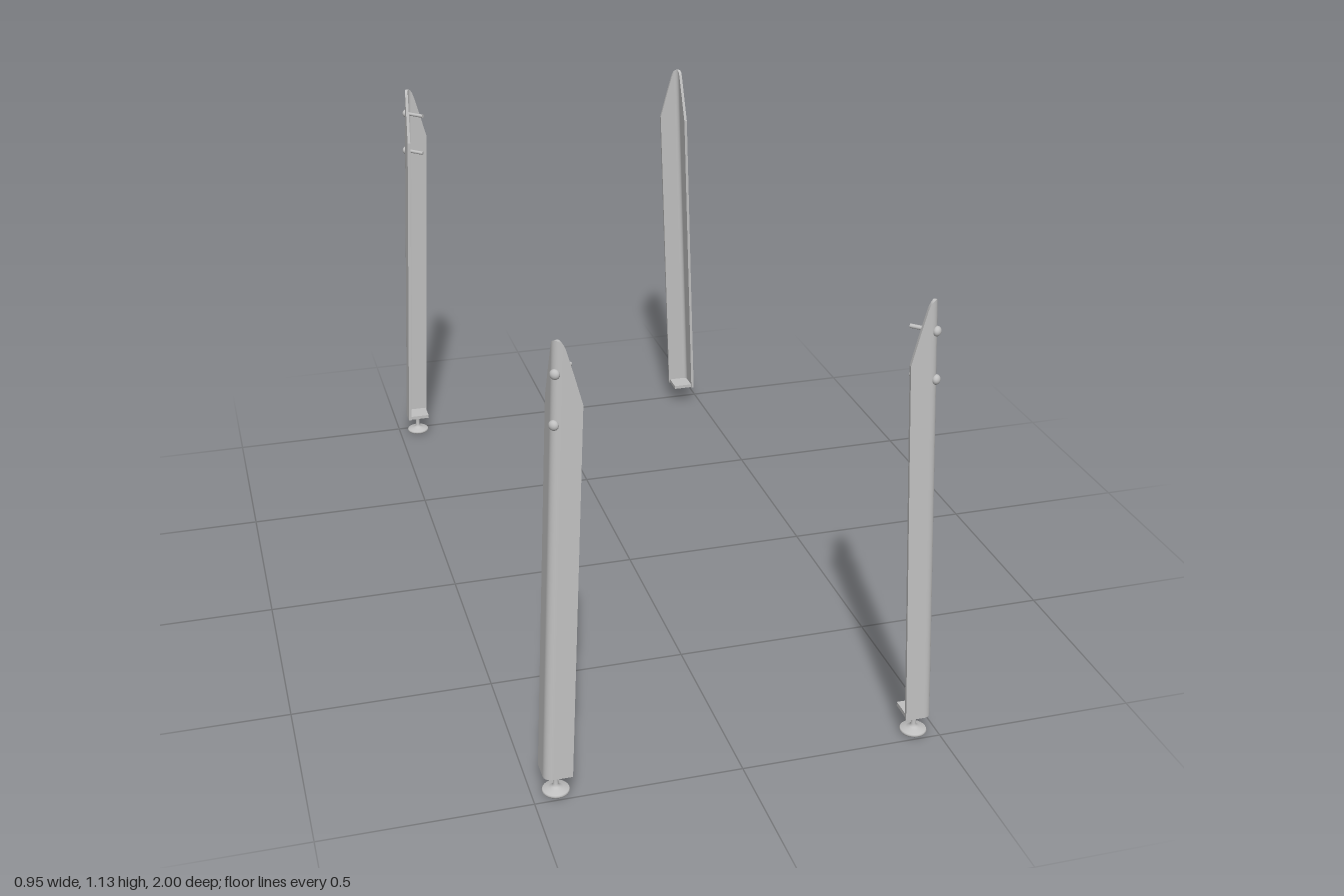
import * as THREE from 'three';

const R = 0.02, T = 0.008, W = 0.067, BOTTOM = 0.058; // corner radius, wall, flange width, lower end
const steel = new THREE.MeshStandardMaterial({ color: 0xc0c0c0 });
steel.name = 'steel grey';

// angle section seen from above, corner at the origin: outer and inner points plus the height of the cut top
function section() {
  const pts = [];
  const flange = [[W, 0.98], [0.045, 1.052], [0.027, 1.108], [0.0225, 1.118]];
  for (const [u, top] of flange) pts.push({ o: [u, 0], i: [u, T], top });
  const n = 8;
  for (let k = 0; k <= n; k++) {
    const a = (k / n) * Math.PI / 2, s = Math.sin(a), c = Math.cos(a);
    const q = R - T;
    const off = Math.abs(k / n - 0.5) * 2;
    pts.push({ o: [R - R * s, R - R * c], i: [R - q * s, R - q * c], top: 1.129 - 0.007 * off * off });
  }
  for (const [u, top] of flange.reverse()) pts.push({ o: [0, u], i: [T, u], top });
  return pts;
}

// folded leg with tapered, rounded top; leans inwards on both axes
function legGeometry(sx, sz, place) {
  const pos = [], idx = [];
  const strip = (a, b) => {
    const base = pos.length / 3, n = a.length;
    for (const p of [...a, ...b]) pos.push(p.x, p.y, p.z);
    for (let k = 0; k < n - 1; k++) {
      const p = base + k, q = p + 1, r = p + n, s = r + 1;
      if (sx * sz > 0) idx.push(p, r, q, q, r, s);
      else idx.push(p, q, r, q, s, r);
    }
  };
  const sec = section();
  const row = (side, top) => sec.map(p => place(p[side][0], top ? p.top : BOTTOM, p[side][1]));
  const ob = row('o', false), ot = row('o', true), ib = row('i', false), it = row('i', true);
  const e = sec.length - 1;
  strip(ot, ob);                       // outer skin
  strip(ib, it);                       // inner skin
  strip(it, ot);                       // top rim
  strip(ob, ib);                       // bottom rim
  strip([ot[0], ob[0]], [it[0], ib[0]]); // flange edges
  strip([ob[e], ot[e]], [ib[e], it[e]]);
  const g = new THREE.BufferGeometry();
  g.setAttribute('position', new THREE.Float32BufferAttribute(pos, 3));
  g.setIndex(idx);
  g.computeVertexNormals();
  return g;
}

function mesh(name, geometry, parent) {
  const m = new THREE.Mesh(geometry, steel);
  m.name = name;
  parent.add(m);
  return m;
}

function addFoot(leg, position) {
  const foot = new THREE.Group();
  foot.name = 'levellingFoot';
  foot.position.copy(position).setY(0);
  leg.add(foot);
  const profile = [[0, 0], [0.022, 0.001], [0.031, 0.005], [0.033, 0.009], [0.031, 0.012],
    [0.018, 0.015], [0.01, 0.019], [0.006, 0.025], [0.006, 0.05], [0.009, 0.058], [0.009, 0.064]];
  mesh('footPadAndStem', new THREE.LatheGeometry(profile.map(p => new THREE.Vector2(...p)), 24), foot);
}

// bolt through the corner, pointing diagonally inwards
function addBolt(leg, position, inward) {
  const bolt = new THREE.Group();
  bolt.name = 'bolt';
  bolt.position.copy(position);
  bolt.quaternion.setFromUnitVectors(new THREE.Vector3(0, 1, 0), inward);
  leg.add(bolt);
  mesh('boltHead', new THREE.SphereGeometry(0.012, 16, 10), bolt).scale.y = 0.8;
  mesh('boltShank', new THREE.CylinderGeometry(0.005, 0.005, 0.062, 12), bolt).position.y = 0.031;
}

function makeLeg(sx, sz) {
  const leg = new THREE.Group();
  leg.name = (sz > 0 ? 'front' : 'back') + (sx > 0 ? 'Left' : 'Right') + 'Leg';
  const leanX = 0.044, leanZ = sz > 0 ? 0.027 : 0.015;
  const place = (u, y, v) => new THREE.Vector3(
    sx * (0.476 - leanX * (y - BOTTOM) - u), y, sz * (1 - leanZ * (y - BOTTOM) - v));

  mesh('anglePost', legGeometry(sx, sz, place), leg);

  // plate closing the lower end
  const plate = mesh('endPlate', new THREE.BoxGeometry(W - 0.01, 0.01, W - 0.01), leg);
  plate.position.copy(place(W / 2 + 0.002, BOTTOM + 0.006, W / 2 + 0.002));

  // the back left leg is a bare post without foot and bolts
  if (sx < 0 || sz > 0) {
    addFoot(leg, place(0.033, BOTTOM, 0.031));
    const inward = new THREE.Vector3(-sx, 0, -sz).normalize();
    for (const y of [1.055, 0.94]) addBolt(leg, place(0.005, y, 0.005), inward);
  }
  return leg;
}

export function createModel() {
  const model = new THREE.Group();
  model.name = 'legSet';
  for (const sx of [1, -1]) for (const sz of [1, -1]) model.add(makeLeg(sx, sz));
  return model;
}
